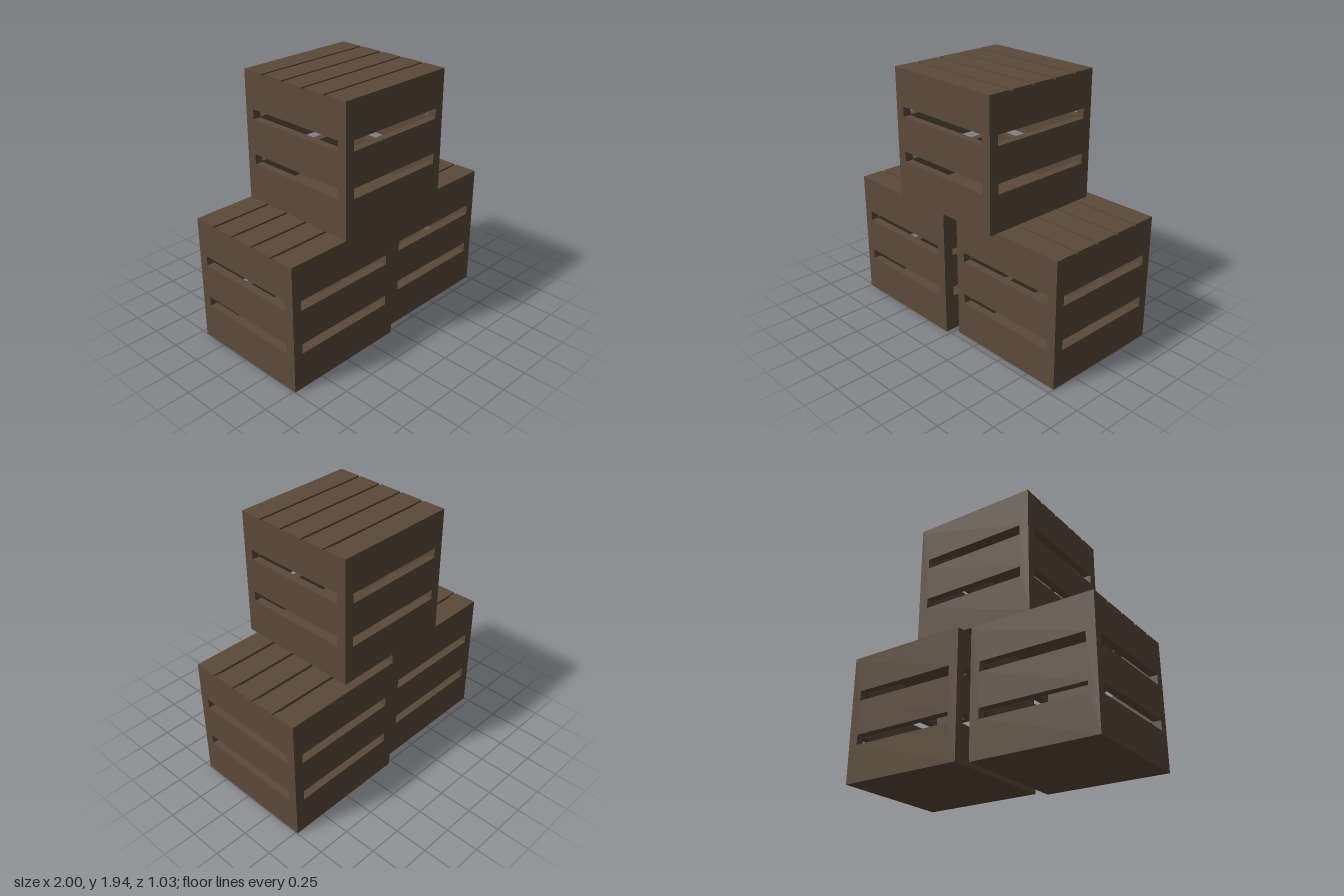
import * as THREE from 'three';

const W = 0.966, H = 0.968, T = 0.06, LIP = 0.012;
const wood = new THREE.MeshStandardMaterial({ color: 0x5b4a3a });
wood.name = 'darkWood';

function addMesh(group, name, geometry, x, y, z, turn = 0) {
  const mesh = new THREE.Mesh(geometry, wood);
  mesh.name = name;
  mesh.position.set(x, y, z);
  mesh.rotation.y = turn;
  group.add(mesh);
}

function rectangle(target, x0, y0, x1, y1) {
  target.moveTo(x0, y0);
  target.lineTo(x1, y0);
  target.lineTo(x1, y1);
  target.lineTo(x0, y1);
  target.closePath();
  return target;
}

// Wall panel with two long slots, centred on its thickness
function wallGeometry(width) {
  const shape = rectangle(new THREE.Shape(), -width / 2, 0, width / 2, H - LIP);
  for (const [low, high] of [[0.28, 0.356], [0.618, 0.693]]) {
    shape.holes.push(rectangle(new THREE.Path(), -0.41, low, 0.41, high));
  }
  return new THREE.ExtrudeGeometry(shape, { depth: T, bevelEnabled: false }).translate(0, 0, -T / 2);
}

// Lid slat: thin lip over the walls, thicker body between them
function slatGeometry(depth) {
  const a = W / 2, b = W / 2 - T;
  const points = [[-a, H], [-a, H - LIP], [-b, H - LIP], [-b, H - T], [b, H - T], [b, H - LIP], [a, H - LIP], [a, H]];
  const shape = new THREE.Shape(points.map(([x, y]) => new THREE.Vector2(x, y)));
  return new THREE.ExtrudeGeometry(shape, { depth, bevelEnabled: false }).translate(0, 0, -depth / 2);
}

function createCrate(name, x, y, z) {
  const crate = new THREE.Group();
  crate.name = name;
  crate.position.set(x, y, z);
  const offset = W / 2 - T / 2;
  const long = wallGeometry(W), short = wallGeometry(W - 2 * T);
  addMesh(crate, 'frontWall', long, 0, 0, offset);
  addMesh(crate, 'backWall', long, 0, 0, -offset);
  addMesh(crate, 'leftWall', short, offset, 0, 0, Math.PI / 2);
  addMesh(crate, 'rightWall', short, -offset, 0, 0, Math.PI / 2);
  addMesh(crate, 'floor', new THREE.BoxGeometry(W - 2 * T, T, W - 2 * T), 0, T / 2, 0);

  // Five lid slats with narrow gaps
  const gap = 0.02, depth = (W - 4 * gap) / 5;
  const slat = slatGeometry(depth);
  for (let i = 0; i < 5; i++) {
    addMesh(crate, 'lidSlat', slat, 0, 0, (i - 2) * (depth + gap));
  }
  return crate;
}

export function createModel() {
  const model = new THREE.Group();
  model.name = 'crateStack';
  model.add(
    createCrate('rightCrate', -0.517, 0, 0.032),
    createCrate('leftCrate', 0.514, 0, -0.032),
    createCrate('topCrate', -0.032, H, 0.032),
  );
  return model;
}
